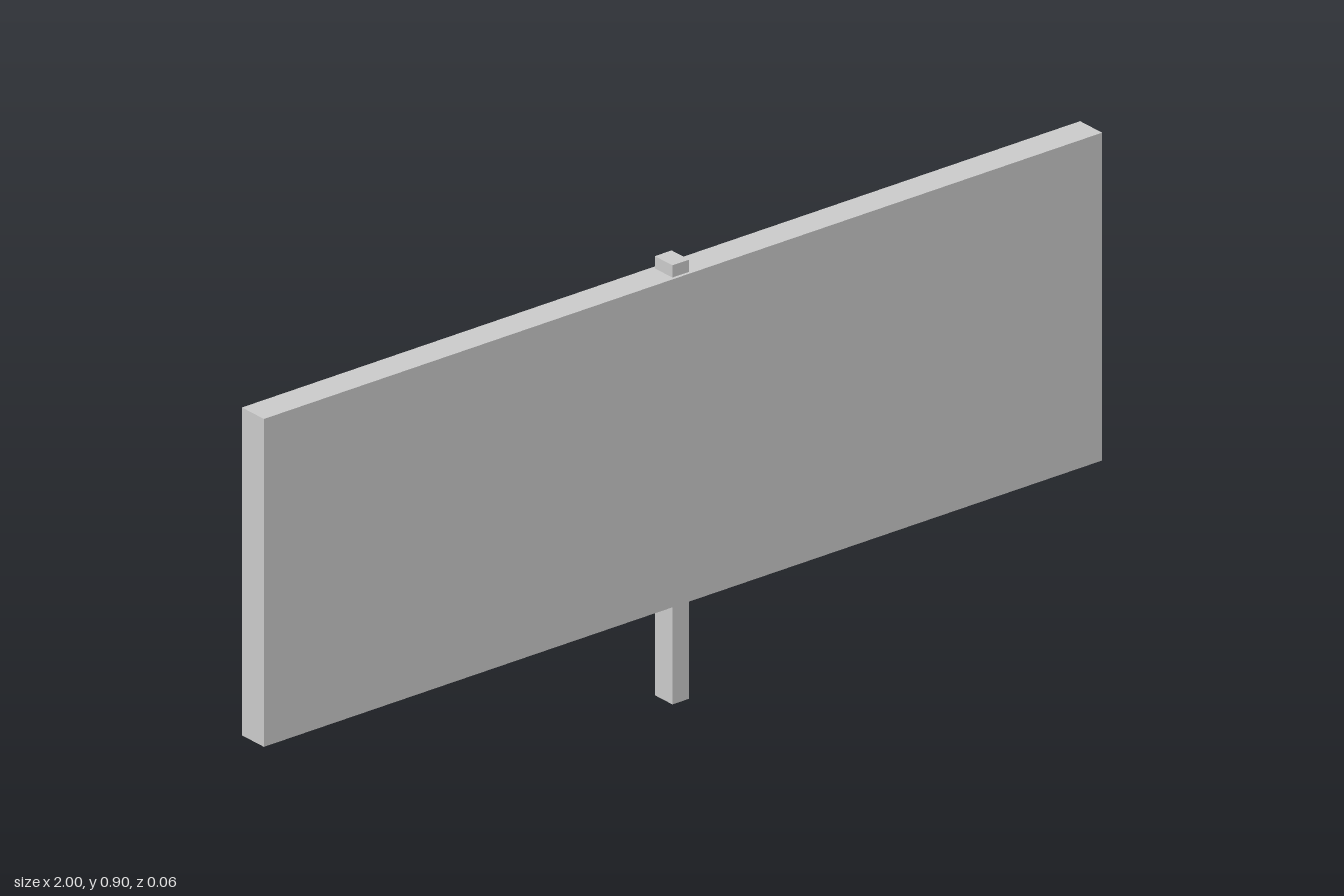
import * as THREE from 'three';

export function createModel() {
  const group = new THREE.Group();
  const material = new THREE.MeshStandardMaterial({ color: 0xcccccc, flatShading: true });

  // Adds a box standing on the given height
  const addBox = (name, width, height, depth, bottom) => {
    const mesh = new THREE.Mesh(new THREE.BoxGeometry(width, height, depth), material);
    mesh.name = name;
    mesh.position.y = bottom + height / 2;
    group.add(mesh);
  };

  // Wide sign board
  addBox('signBoard', 2, 0.672, 0.065, 0.203);
  // Post running through the board, with its top poking out
  addBox('post', 0.04, 0.9, 0.052, 0);

  return group;
}
